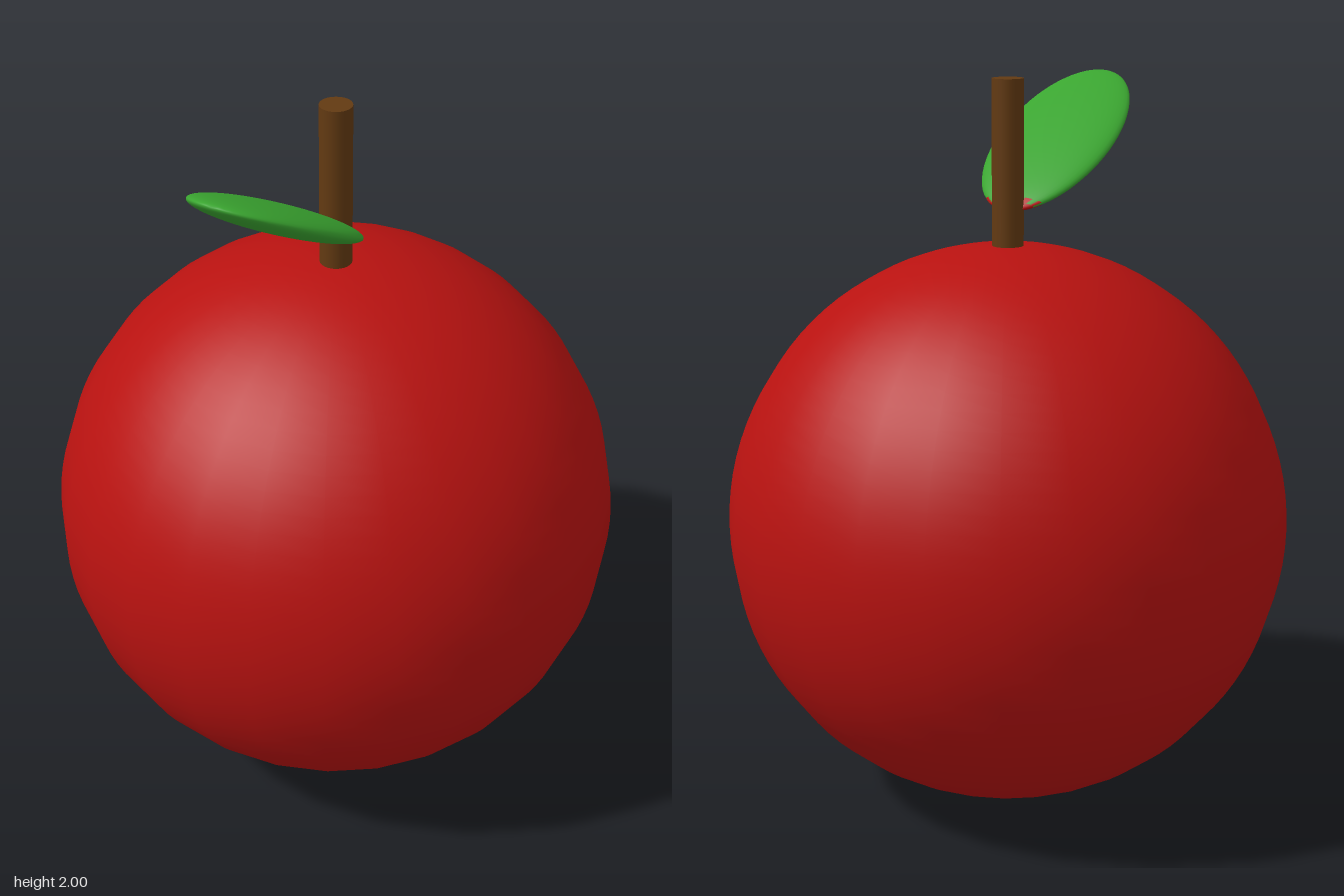
import * as THREE from 'three';

const RADIUS = 0.778;

function part(name, geometry, color) {
  const mesh = new THREE.Mesh(geometry, new THREE.MeshStandardMaterial({ color, side: THREE.DoubleSide }));
  mesh.name = name;
  return mesh;
}

export function createModel() {
  const model = new THREE.Group();
  model.name = 'apple';

  // Round fruit: 26 sides around, with a corner on the z axis
  const fruit = part('fruit', new THREE.SphereGeometry(RADIUS, 26, 48), 0xb81210);
  fruit.rotation.y = Math.PI / 2;
  fruit.position.y = RADIUS;
  model.add(fruit);

  // Stem, sunk slightly into the fruit
  const stem = part('stem', new THREE.CylinderGeometry(0.043, 0.043, 0.5, 24), 0x633a12);
  stem.position.y = 1.75;
  model.add(stem);

  // Leaf: a flat ellipsoid rising forwards from the stem
  const leaf = new THREE.Group();
  leaf.name = 'leaf';
  leaf.position.set(0, 1.815, 0.28);
  leaf.rotation.x = Math.PI / 2 - THREE.MathUtils.degToRad(30.5);
  const blade = part('leafBlade', new THREE.SphereGeometry(1, 40, 32), 0x3aa530);
  blade.scale.set(0.18, 0.325, 0.037);
  leaf.add(blade);

  // Red jagged tip where the leaf meets the stem
  const tip = new THREE.Group();
  tip.name = 'leafTip';
  tip.scale.set(0.181, 0.326, 0.0375);
  const start = Math.PI - 0.38;
  tip.add(part('tipCap', new THREE.SphereGeometry(1, 40, 6, 0, Math.PI * 2, start, 0.38), 0xb81210));
  const teeth = 10;
  for (let i = 0; i < teeth; i++) {
    const step = (Math.PI * 2) / teeth;
    tip.add(part('tipTooth', new THREE.SphereGeometry(1, 4, 2, (i + 0.25) * step, step / 2, start - 0.12, 0.12), 0xb81210));
  }
  leaf.add(tip);
  model.add(leaf);

  return model;
}
